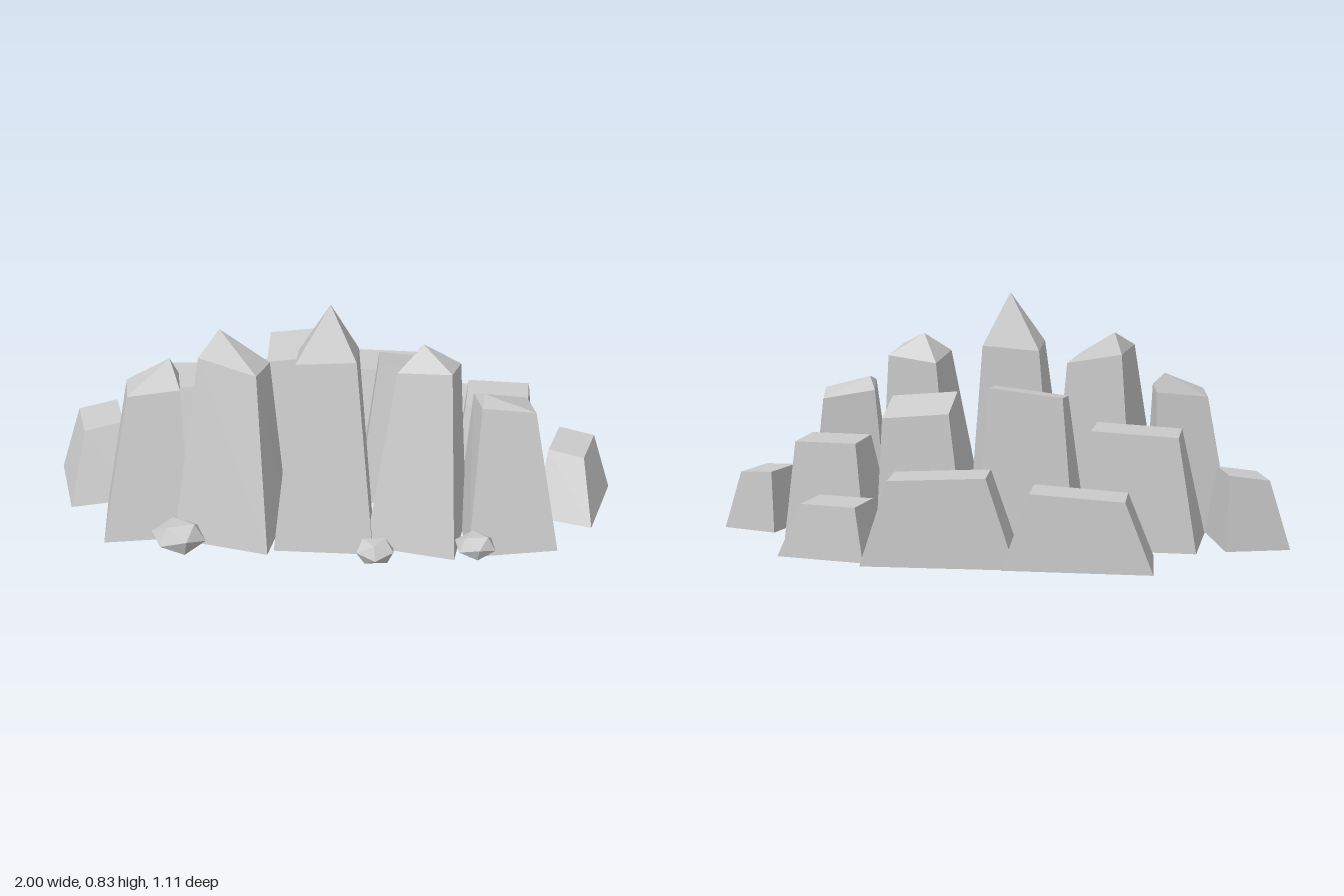
import * as THREE from 'three';

const stone = new THREE.MeshStandardMaterial({ color: 0xcccccc, flatShading: true });

// Corner signs in order: back -x, back +x, front +x, front -x
const corners = [[-0.5, -0.5], [0.5, -0.5], [0.5, 0.5], [-0.5, 0.5]];

// Point at local offset (u, v) from a centre, turned about the vertical axis
function turned(x, y, z, u, v, yaw) {
  const c = Math.cos(yaw), s = Math.sin(yaw);
  return [x + u * c + v * s, y, z - u * s + v * c];
}

// Tapered faceted rock. The row shares depth, back narrowing, top proportions and
// backward shift; each rock has its place, width, turn, height, top slopes and peak.
function makeRock(name, row, [x, z, w, yaw, h, tilt, lean = 0, slope = 0], peak) {
  const { depth, back, topWidth, topDepth, shift } = row;
  const base = corners.map(([u, v]) =>
    turned(x, 0, z, u * w * (v < 0 ? back : 1), v * depth, yaw));
  const top = corners.map(([u, v]) =>
    turned(x + lean, h + tilt * u + slope * v, z + shift, u * w * topWidth, v * depth * topDepth, yaw));

  const pos = [];
  const tri = (...p) => p.forEach((v) => pos.push(...v));
  const quad = (p, q, r, s) => { tri(p, q, r); tri(p, r, s); };
  quad(...base);
  for (let i = 0; i < 4; i++) {
    const j = (i + 1) % 4;
    quad(base[i], top[i], top[j], base[j]);
    if (peak) tri(top[j], top[i], peak);
  }
  if (!peak) quad(top[3], top[2], top[1], top[0]);

  const geo = new THREE.BufferGeometry();
  geo.setAttribute('position', new THREE.Float32BufferAttribute(pos, 3));
  geo.computeVertexNormals();
  const mesh = new THREE.Mesh(geo, stone);
  mesh.name = name;
  return mesh;
}

// Small flattened pebble
function makePebble(name, x, y, z, width, yaw) {
  const geo = new THREE.IcosahedronGeometry(0.54, 0).rotateX(0.3).rotateY(yaw);
  geo.scale(width, width * 0.66, width * 0.76);
  geo.computeVertexNormals();
  const mesh = new THREE.Mesh(geo, stone);
  mesh.name = name;
  mesh.position.set(x, y, z);
  return mesh;
}

export function createModel() {
  const group = new THREE.Group();
  group.name = 'rockCluster';
  const add = (name, row, rock, peak) => group.add(makeRock(name, row, rock, peak));

  // Tall pointed front row, upright at the back
  const front = { depth: 0.275, back: 0.9, topWidth: 0.6, topDepth: 0.52, shift: -0.07 };
  add('frontRock1', front, [-0.635, 0.245, 0.3, 0.18, 0.5, 0.015, 0.035, 0.01], [-0.55, 0.57, 0.11]);
  add('frontRock2', front, [-0.325, 0.27, 0.34, -0.22, 0.62, -0.04, 0.01, 0.02], [-0.37, 0.705, 0.14]);
  add('frontRock3', front, [0, 0.277, 0.34, 0, 0.65, 0.015, 0, 0.02], [0.01, 0.835, 0.19]);
  add('frontRock4', front, [0.322, 0.262, 0.31, -0.2, 0.61, 0.02, 0.02, 0.03], [0.32, 0.685, 0.165]);
  add('frontRock5', front, [0.62, 0.242, 0.31, 0.2, 0.475, -0.03, -0.02, 0.02], [0.53, 0.52, 0.195]);

  // Blunt middle row
  const middle = { depth: 0.31, back: 0.94, topWidth: 0.7, topDepth: 0.6, shift: -0.045 };
  add('middleRock1', middle, [-0.49, -0.045, 0.42, 0.01, 0.4, 0.015, 0.015]);
  add('middleRock2', middle, [-0.105, -0.07, 0.36, 0.03, 0.525, 0.03, 0, -0.02]);
  add('middleRock3', middle, [0.26, -0.07, 0.33, 0.03, 0.47, -0.02, 0.015, 0.05]);
  add('middleRock4', middle, [0.585, -0.075, 0.31, -0.05, 0.345, 0]);

  // Low back row
  const rear = { depth: 0.26, back: 1.05, topWidth: 0.66, topDepth: 0.6, shift: -0.045 };
  add('backRock1', rear, [-0.32, -0.383, 0.47, 0.04, 0.245, 0.02]);
  add('backRock2', rear, [0.14, -0.4, 0.49, 0.065, 0.293, -0.015]);
  add('backRock3', rear, [0.52, -0.355, 0.295, -0.15, 0.183, 0, -0.02]);

  // Angled rocks at the two ends
  const end = { depth: 0.29, back: 1, topWidth: 0.62, topDepth: 0.58, shift: -0.057 };
  add('rightEndRock', end, [-0.85, 0.022, 0.225, 0.3, 0.25, 0.02, 0.015]);
  add('leftEndRock', end, [0.863, 0.03, 0.205, -0.27, 0.212, -0.01, -0.012]);

  // Loose pebbles in front
  group.add(makePebble('pebble1', -0.485, 0.087, 0.475, 0.175, 0.4));
  group.add(makePebble('pebble2', 0.18, 0.08, 0.507, 0.135, 1.1));
  group.add(makePebble('pebble3', 0.515, 0.083, 0.455, 0.135, 0.2));
  return group;
}
